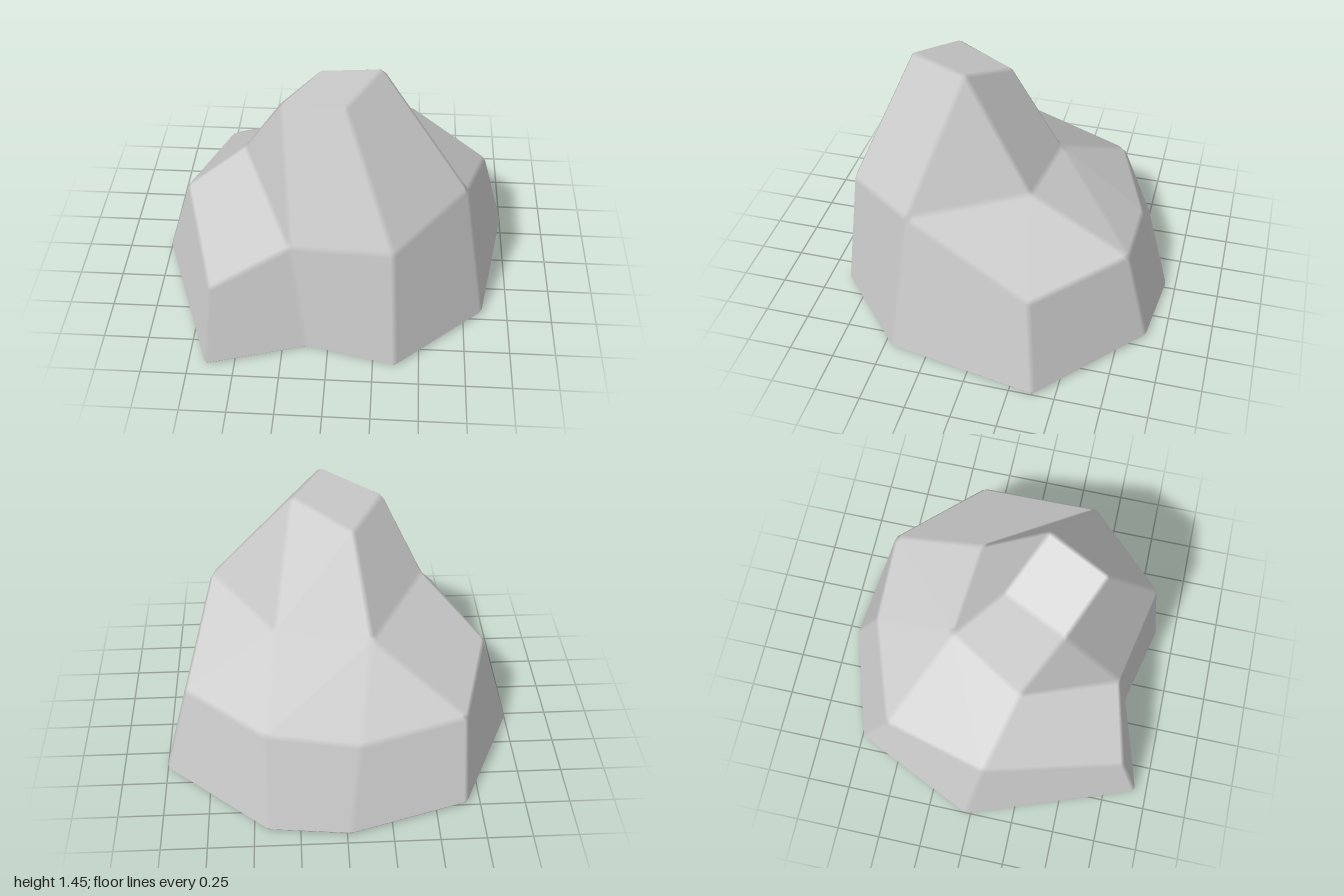
import * as THREE from 'three';

const BEVEL = 0.018;
const V = (x, y, z) => new THREE.Vector3(x * 1.01, y, z * 1.01);

// Solid with softened edges: every face is inset, then edge strips and corner patches join the faces.
// Normals stay those of the faces, so the shading blends only across the strips.
function beveledSolid(points, faces) {
  const pos = [], nor = [], index = [];
  const edges = new Map();   // "a,b" -> inset corners of the face left of a->b
  const around = points.map(() => new Map());   // next vertex -> corner

  const fan = (ids) => {
    for (let i = 1; i < ids.length - 1; i++) index.push(ids[0], ids[i], ids[i + 1]);
  };

  for (const face of faces) {
    const n = new THREE.Vector3();
    const count = face.length;
    face.forEach((v, i) => {
      n.add(new THREE.Vector3().crossVectors(points[v], points[face[(i + 1) % count]]));
    });
    n.normalize();
    const ids = face.map((v, i) => {
      const p = points[v];
      const toNext = points[face[(i + 1) % count]].clone().sub(p).normalize();
      const toPrev = points[face[(i + count - 1) % count]].clone().sub(p).normalize();
      let sin = toNext.clone().cross(toPrev).dot(n);
      sin = Math.sign(sin) * Math.max(Math.abs(sin), 0.3);
      const q = toNext.add(toPrev).multiplyScalar(BEVEL / sin).add(p);
      pos.push(q.x, q.y, q.z);
      nor.push(n.x, n.y, n.z);
      return pos.length / 3 - 1;
    });
    fan(ids);
    face.forEach((v, i) => {
      const next = face[(i + 1) % count], prev = face[(i + count - 1) % count];
      edges.set(`${v},${next}`, [ids[i], ids[(i + 1) % count]]);
      around[v].set(next, { id: ids[i], prev });
    });
  }

  // Edge strips
  for (const [key, [fa, fb]] of edges) {
    const [a, b] = key.split(',').map(Number);
    if (a > b) continue;
    const [gb, ga] = edges.get(`${b},${a}`);
    fan([ga, gb, fb, fa]);
  }

  // Corner patches
  for (const corners of around) {
    const start = corners.keys().next().value;
    const ids = [];
    let key = start;
    do {
      const corner = corners.get(key);
      ids.push(corner.id);
      key = corner.prev;
    } while (key !== start);
    fan(ids);
  }

  const g = new THREE.BufferGeometry();
  g.setAttribute('position', new THREE.Float32BufferAttribute(pos, 3));
  g.setAttribute('normal', new THREE.Float32BufferAttribute(nor, 3));
  g.setIndex(index);
  return g;
}

export function createModel() {
  const group = new THREE.Group();
  group.name = 'rock';

  // Ground outline and the shoulder above it, running the same way round
  const base = [
    V(1, 0, -0.38), V(0.42, 0, -0.89), V(-0.02, 0, -0.94),
    V(-0.67, 0, -0.74), V(-1, 0, -0.03), V(-0.65, 0, 0.93),
    V(-0.11, 0, 0.77), V(0.37, 0, 0.88), V(0.85, 0, 0.45),
  ];
  const shoulder = [
    V(0.86, 0.53, -0.32), V(0.42, 0.57, -0.76), V(-0.08, 0.48, -0.76),
    V(-0.67, 0.47, -0.55), V(-0.84, 0.54, 0.05), V(-0.62, 0.46, 0.81),
    V(-0.2, 0.66, 0.69), V(0.34, 0.74, 0.8), V(0.72, 0.84, 0.37),
  ];
  // Foot of the peak at the back, then the four corners of its top
  const foot = [V(0.36, 0.84, -0.21), V(-0.17, 0.79, -0.26), V(-0.48, 0.94, 0.18)];
  const peak = [V(0.25, 1.46, 0.17), V(-0.08, 1.325, 0), V(-0.26, 1.35, 0.36), V(0.08, 1.445, 0.515)];

  const N = base.length;
  const S = (i) => N + (i % N);
  const [m1, m2, m3, ta, td, tc, tb] = [0, 1, 2, 3, 4, 5, 6].map((i) => 2 * N + i);

  const faces = [
    [6, 5, 4, 3, 2, 1, 0, 8, 7],                       // underside
    [ta, td, tc, tb],                                  // top
    [m1, m2, td, ta], [m2, m3, tc, td],                // back of the peak
    [ta, S(8), m1], [ta, tb, S(7), S(8)],              // right of the peak
    [tb, tc, S(6), S(7)], [tc, m3, S(6)],              // front of the peak
    [m3, S(4), S(5), S(6)], [m1, S(8), S(0), S(1)],    // sloping ledges
    [m2, m1, S(1)], [m2, S(1), S(2)], [m2, S(2), S(3)], [m2, S(3), S(4), m3],
  ];
  // Side walls
  for (let i = 0; i < N; i++) faces.push([i, (i + 1) % N, S(i + 1), S(i)]);

  const rock = new THREE.Mesh(
    beveledSolid([...base, ...shoulder, ...foot, ...peak], faces),
    new THREE.MeshStandardMaterial({ color: 0xcccccc }),
  );
  rock.name = 'boulder';
  group.add(rock);
  return group;
}
